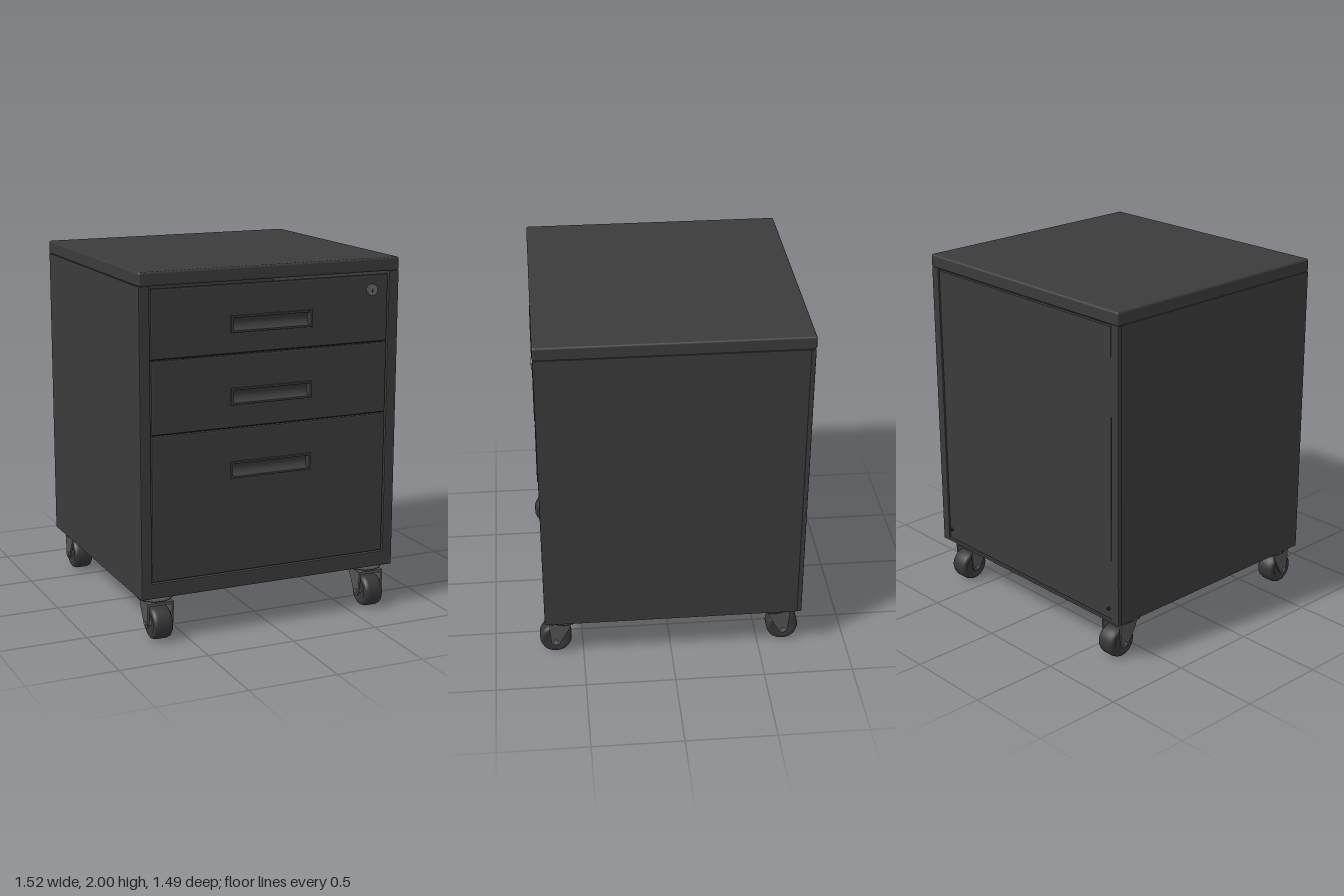
import * as THREE from 'three';
import { RoundedBoxGeometry } from 'three/addons/geometries/RoundedBoxGeometry.js';

const mat = (name, color, side = THREE.FrontSide) => {
  const m = new THREE.MeshStandardMaterial({ color, side });
  m.name = name;
  return m;
};

export function createModel() {
  const steel = mat('charcoal steel', 0x3b3b3b, THREE.DoubleSide);
  const dark = mat('dark gap', 0x242424);
  const rubber = mat('wheel rubber', 0x363636);
  const metal = mat('caster metal', 0x525252);
  const chrome = mat('lock metal', 0x6e6e6e);

  const model = new THREE.Group();
  model.name = 'mobilePedestal';

  const add = (parent, name, geo, material, x = 0, y = 0, z = 0) => {
    const mesh = new THREE.Mesh(geo, material);
    mesh.name = name;
    mesh.position.set(x, y, z);
    parent.add(mesh);
    return mesh;
  };
  const rect = (P, x0, y0, x1, y1) => {
    const p = new P();
    p.moveTo(x0, y0).lineTo(x1, y0).lineTo(x1, y1).lineTo(x0, y1).closePath();
    return p;
  };
  // Extrudes an xy outline so that it fills z0..z1, bevel included
  const slab = (shape, z0, z1, b) => new THREE.ExtrudeGeometry(shape, {
    depth: z1 - z0 - 2 * b, bevelEnabled: b > 0, bevelThickness: b, bevelSize: b,
    bevelOffset: -b, bevelSegments: 2, curveSegments: 16,
  }).translate(0, 0, z0 + b);
  // U-shaped section: two sides and a floor
  const uShape = (inner, floor) => {
    const s = new THREE.Shape();
    s.moveTo(-0.76, 0.245).lineTo(0.76, 0.245).lineTo(0.76, 1.926).lineTo(inner, 1.926)
      .lineTo(inner, floor).lineTo(-inner, floor).lineTo(-inner, 1.926).lineTo(-0.76, 1.926).closePath();
    return s;
  };

  // Cabinet shell, rear rim, rear panel and lid
  add(model, 'cabinetShell', slab(uShape(0.7, 0.33), -0.715, 0.715, 0.006), steel);
  add(model, 'rearRim', slab(uShape(0.706, 0.262), -0.738, -0.712, 0.005), steel);
  add(model, 'rearPanel', new THREE.BoxGeometry(1.4, 1.645, 0.02), steel, 0, 1.09, -0.722);
  add(model, 'lid', new RoundedBoxGeometry(1.52, 0.075, 1.457, 3, 0.012), steel, 0, 1.9625, -0.0125);
  for (const x of [-0.683, 0.683]) {
    const screw = add(model, 'rearScrew', new THREE.CylinderGeometry(0.008, 0.01, 0.014, 12), dark, x, 0.325, -0.738);
    screw.rotation.x = -Math.PI / 2;
  }

  // Drawers: bottom edge, top edge, handle height
  const drawers = [[1.541, 1.91, 1.698], [1.14, 1.535, 1.31], [0.335, 1.134, 0.908]];
  const hx = -0.005;
  for (const [y0, y1, hy] of drawers) {
    const drawer = new THREE.Group();
    drawer.name = 'drawer';
    model.add(drawer);

    const front = rect(THREE.Shape, -0.695, y0, 0.695, y1);
    front.holes.push(rect(THREE.Path, hx - 0.225, hy - 0.035, hx + 0.225, hy + 0.035));
    add(drawer, 'drawerFront', slab(front, 0.683, 0.712, 0.008), steel);

    // Raised rim around the recessed pull
    const rim = rect(THREE.Shape, hx - 0.24, hy - 0.046, hx + 0.24, hy + 0.046);
    rim.holes.push(rect(THREE.Path, hx - 0.226, hy - 0.034, hx + 0.226, hy + 0.034));
    add(drawer, 'handleRim', slab(rim, 0.7, 0.721, 0.003), steel);

    // Scooped pull with closed ends
    const scoop = add(drawer, 'handleScoop',
      new THREE.CylinderGeometry(0.036, 0.036, 0.455, 20, 1, true, Math.PI / 2, Math.PI), steel, hx, hy, 0.712);
    scoop.rotation.z = Math.PI / 2;
    for (const s of [-1, 1]) {
      const end = add(drawer, 'handleEnd',
        new THREE.CircleGeometry(0.036, 16, -Math.PI / 2, Math.PI), steel, hx + s * 0.2275, hy, 0.712);
      end.rotation.y = Math.PI / 2;
    }
  }
  // Rails behind the joints between drawers
  for (const y of [1.538, 1.137]) {
    add(model, 'drawerRail', new THREE.BoxGeometry(1.4, 0.04, 0.02), dark, 0, y, 0.67);
  }

  // Lock with keyhole
  const lock = add(model, 'lock', new THREE.CylinderGeometry(0.031, 0.034, 0.02, 32), chrome, 0.595, 1.828, 0.712);
  lock.rotation.x = Math.PI / 2;
  add(model, 'keyhole', new THREE.BoxGeometry(0.006, 0.024, 0.004), dark, 0.595, 1.828, 0.722);

  // Casters: swivel plate at the origin of x and z, wheel trailing towards +z
  const wheelProfile = [[0.012, -0.047], [0.05, -0.047], [0.056, -0.054], [0.074, -0.054], [0.084, -0.047], [0.09, -0.03],
    [0.09, 0.03], [0.084, 0.047], [0.074, 0.054], [0.056, 0.054], [0.05, 0.047], [0.012, 0.047]]
    .map(([r, y]) => new THREE.Vector2(r, y));
  const plateProfile = [[0, 0.205], [0.055, 0.205], [0.075, 0.212], [0.097, 0.218], [0.097, 0.228], [0.06, 0.231], [0, 0.231]]
    .map(([r, y]) => new THREE.Vector2(r, y));
  // Fork cheek outline: first coordinate runs along the trailing direction
  const cheek = new THREE.Shape();
  cheek.moveTo(-0.03, 0.21).lineTo(-0.025, 0.18).lineTo(0.03, 0.08)
    .absarc(0.055, 0.09, 0.027, Math.PI * 1.12, Math.PI * 2, false)
    .lineTo(0.09, 0.17).lineTo(0.09, 0.21).closePath();

  const makeCaster = () => {
    const g = new THREE.Group();
    g.name = 'caster';
    add(g, 'stem', new THREE.CylinderGeometry(0.025, 0.025, 0.03, 20), metal, 0, 0.236, 0);
    add(g, 'swivelPlate', new THREE.LatheGeometry(plateProfile, 32), metal);
    add(g, 'forkBridge', new THREE.BoxGeometry(0.15, 0.016, 0.118), metal, 0, 0.202, 0.03);
    for (const s of [-1, 1]) {
      const side = add(g, 'forkCheek', slab(cheek, -0.006, 0.006, 0.002), metal, s * 0.07);
      side.rotation.y = -Math.PI / 2;
    }
    const wheel = add(g, 'wheel', new THREE.LatheGeometry(wheelProfile, 40), rubber, 0, 0.09, 0.055);
    wheel.rotation.z = Math.PI / 2;
    const axle = add(g, 'axle', new THREE.CylinderGeometry(0.013, 0.013, 0.162, 16), chrome, 0, 0.09, 0.055);
    axle.rotation.z = Math.PI / 2;
    return g;
  };
  for (const x of [-0.643, 0.643]) {
    for (const front of [true, false]) {
      const c = makeCaster();
      c.position.set(x, 0, front ? 0.6 : -0.59);
      c.rotation.y = front ? 0 : Math.PI;
      model.add(c);
    }
  }
  return model;
}
